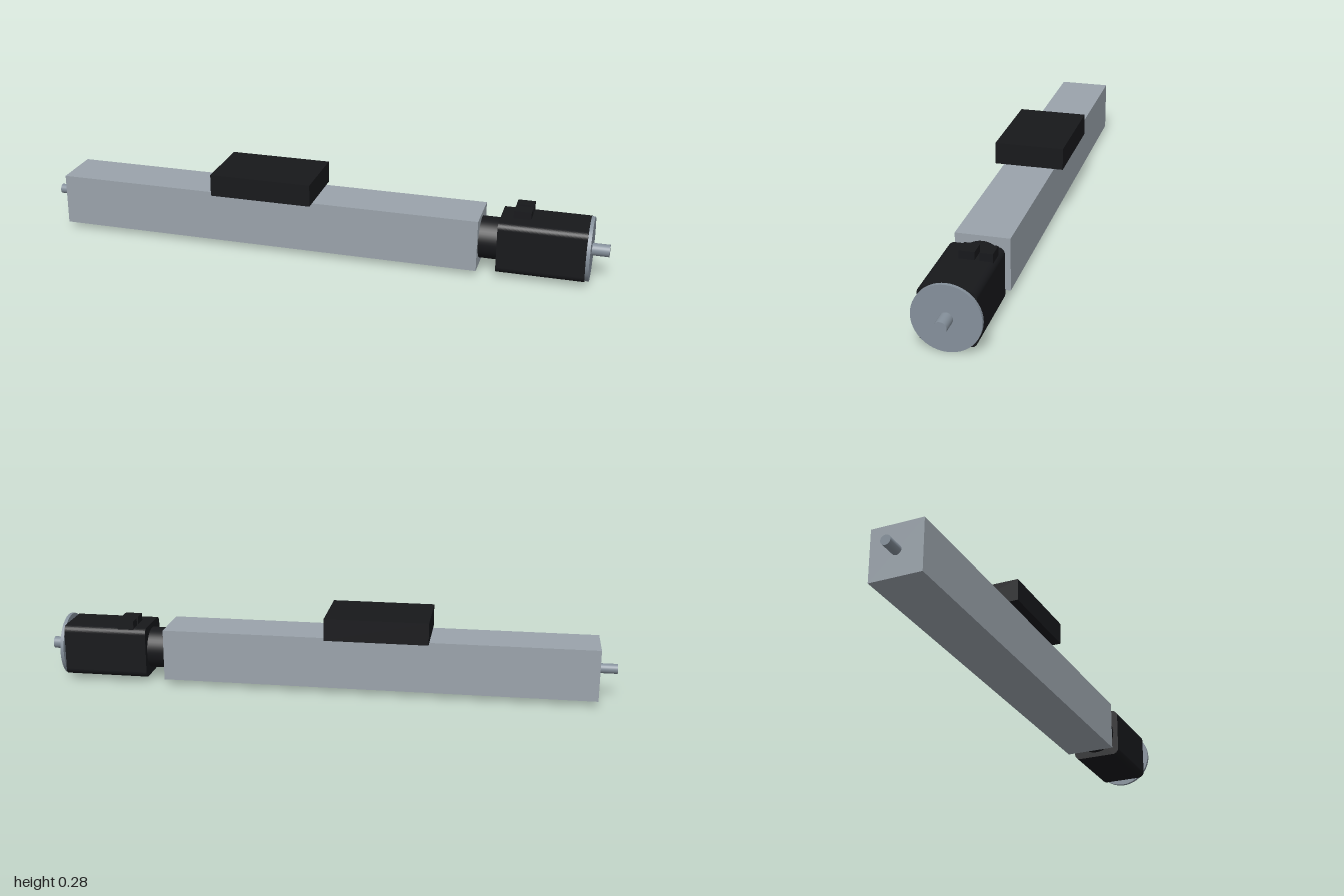
import * as THREE from 'three';

const AXIS_Y = 0.11; // height of the drive axis

export function createModel() {
  const model = new THREE.Group();
  const aluminium = new THREE.MeshStandardMaterial({ color: 0x9aa3ab });
  const steel = new THREE.MeshStandardMaterial({ color: 0x85909b });
  const black = new THREE.MeshStandardMaterial({ color: 0x17181b });

  const add = (name, geometry, material) => {
    const mesh = new THREE.Mesh(geometry, material);
    mesh.name = name;
    model.add(mesh);
    return mesh;
  };

  // Box given by its limits on each axis
  const box = (name, material, [x0, x1], [y0, y1], [z0, z1]) =>
    add(name, new THREE.BoxGeometry(x1 - x0, y1 - y0, z1 - z0), material)
      .position.set((x0 + x1) / 2, (y0 + y1) / 2, (z0 + z1) / 2);

  // Cylinder lying along x on the drive axis
  const rod = (name, material, x0, x1, radius) => {
    const geometry = new THREE.CylinderGeometry(radius, radius, x1 - x0, 48);
    geometry.rotateZ(-Math.PI / 2);
    add(name, geometry, material).position.set((x0 + x1) / 2, AXIS_Y, 0);
  };

  // Rail body and the sliding carriage on it
  box('railBody', aluminium, [-0.937, 0.57], [0.02, 0.2], [-0.09, 0.09]);
  box('carriage', black, [-0.363, -0.005], [0.2, 0.277], [-0.121, 0.121]);

  // Drive train
  rod('railShaft', steel, -1, -0.937, 0.017);
  rod('coupling', black, 0.57, 0.635, 0.072);
  rod('motorFlange', steel, 0.93, 0.942, 0.109);
  rod('motorShaft', steel, 0.942, 1, 0.021);

  // Motor housing: square section with rounded corners, extruded along x
  const half = 0.09, r = 0.022, c = half - r;
  const section = new THREE.Shape();
  for (let i = 0; i < 4; i++) {
    const a = i * Math.PI / 2;
    const sx = i === 0 || i === 3 ? 1 : -1;
    const sy = i < 2 ? 1 : -1;
    section.absarc(sx * c, sy * c, r, a, a + Math.PI / 2, false);
  }
  section.closePath();
  const housing = new THREE.ExtrudeGeometry(section, { depth: 0.295, bevelEnabled: false, curveSegments: 6 });
  housing.rotateY(Math.PI / 2);
  add('motorHousing', housing, black).position.set(0.635, AXIS_Y, 0);

  // Two plug sockets on top of the motor
  box('powerSocket', black, [0.678, 0.737], [0.195, 0.226], [-0.025, 0.025]);
  box('signalSocket', black, [0.678, 0.737], [0.195, 0.226], [-0.082, -0.04]);

  return model;
}
